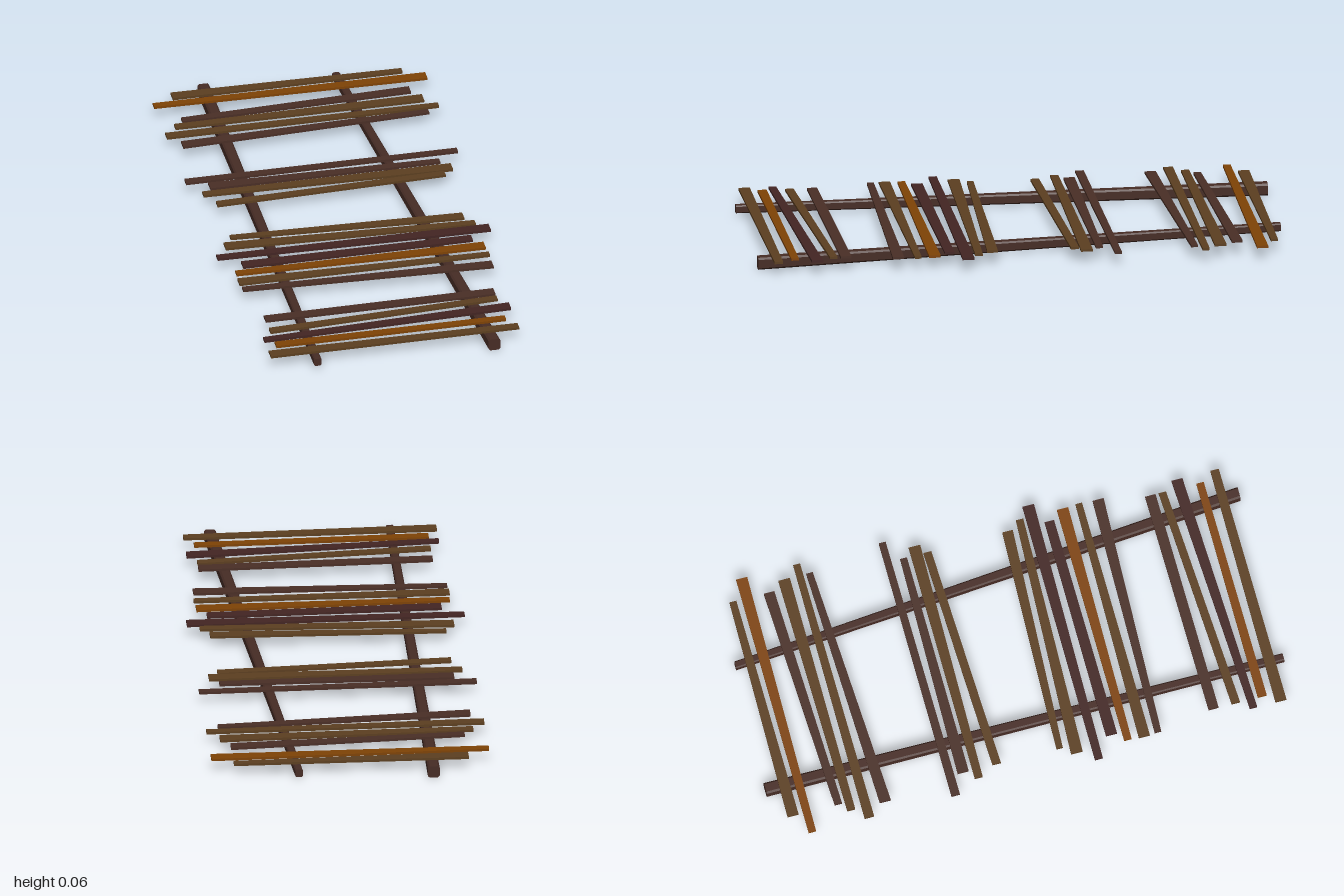
import * as THREE from 'three';

const paint = (name, color) => {
  const m = new THREE.MeshStandardMaterial({ color });
  m.name = name;
  return m;
};

// Tapered bar between two ends; each end is { p: [x, y, z], w: width, h: height }
function taperedBar(a, b, side, chamfer) {
  const k = 0.5, c = 0.5 - chamfer;
  const corners = chamfer
    ? [[c, -k], [k, -c], [k, c], [c, k], [-c, k], [-k, c], [-k, -c], [-c, -k]]
    : [[k, -k], [k, k], [-k, k], [-k, -k]];
  const section = new THREE.Shape(corners.map(([x, y]) => new THREE.Vector2(x, y)));
  const geo = new THREE.ExtrudeGeometry(section, { depth: 1, bevelEnabled: false });
  const pos = geo.attributes.position;
  const start = new THREE.Vector3(...a.p), end = new THREE.Vector3(...b.p);
  const v = new THREE.Vector3();
  for (let i = 0; i < pos.count; i++) {
    const t = pos.getZ(i);
    v.lerpVectors(start, end, t);
    v.addScaledVector(side, pos.getX(i) * THREE.MathUtils.lerp(a.w, b.w, t));
    v.y += pos.getY(i) * THREE.MathUtils.lerp(a.h, b.h, t);
    pos.setXYZ(i, v.x, v.y, v.z);
  }
  geo.computeVertexNormals();
  return geo;
}

export function createModel() {
  const model = new THREE.Group();
  model.name = 'plankWalkway';

  const railWood = paint('railWood', 0x472c25);
  const woods = {
    mid: paint('midBrownWood', 0x5c3f20),
    dark: paint('darkBrownWood', 0x4a2f26),
    deep: paint('deepBrownWood', 0x432523),
    amber: paint('amberWood', 0x7f4305),
  };

  // Two long rails, each thick at one end and thin at the other
  const alongX = new THREE.Vector3(1, 0, 0);
  const addRail = (name, back, front) => {
    const mesh = new THREE.Mesh(taperedBar(back, front, alongX, 0.15), railWood);
    mesh.name = name;
    model.add(mesh);
  };
  addRail('rightRail',
    { p: [-0.3, 0.024, -1], w: 0.044, h: 0.046 },
    { p: [-0.3, 0.029, 0.98], w: 0.028, h: 0.03 });
  addRail('leftRail',
    { p: [0.197, 0.029, -0.98], w: 0.028, h: 0.03 },
    { p: [0.365, 0.024, 0.99], w: 0.044, h: 0.046 });

  // Planks: half length, z and width at the -x end, z and width at the +x end, wood
  const planks = [
    [0.434, -0.93, 0.042, -0.925, 0.026, 'mid'],
    [0.514, -0.878, 0.028, -0.87, 0.042, 'amber'],
    [0.434, -0.757, 0.028, -0.787, 0.04, 'dark'],
    [0.469, -0.717, 0.03, -0.72, 0.044, 'mid'],
    [0.514, -0.66, 0.036, -0.66, 0.026, 'mid'],
    [0.469, -0.587, 0.042, -0.623, 0.025, 'dark'],
    [0.514, -0.33, 0.032, -0.333, 0.026, 'dark'],
    [0.434, -0.28, 0.042, -0.273, 0.026, 'dark'],
    [0.469, -0.23, 0.03, -0.222, 0.044, 'mid'],
    [0.434, -0.152, 0.032, -0.182, 0.03, 'mid'],
    [0.436, 0.088, 0.024, 0.125, 0.04, 'mid'],
    [0.469, 0.145, 0.044, 0.18, 0.028, 'mid'],
    [0.514, 0.217, 0.03, 0.225, 0.044, 'deep'],
    [0.434, 0.287, 0.042, 0.284, 0.036, 'deep'],
    [0.469, 0.34, 0.028, 0.344, 0.043, 'amber'],
    [0.473, 0.402, 0.042, 0.407, 0.025, 'mid'],
    [0.469, 0.455, 0.025, 0.48, 0.042, 'dark'],
    [0.434, 0.677, 0.038, 0.67, 0.04, 'dark'],
    [0.434, 0.762, 0.032, 0.716, 0.028, 'mid'],
    [0.469, 0.82, 0.028, 0.781, 0.042, 'deep'],
    [0.434, 0.863, 0.034, 0.86, 0.028, 'amber'],
    [0.469, 0.925, 0.042, 0.925, 0.032, 'mid'],
  ];
  const alongBack = new THREE.Vector3(0, 0, -1);
  const y = 0.0515, h = 0.009;
  planks.forEach(([half, zA, wA, zB, wB, wood], i) => {
    const geo = taperedBar(
      { p: [-half, y, zA], w: wA, h },
      { p: [half, y, zB], w: wB, h }, alongBack, 0);
    const mesh = new THREE.Mesh(geo, woods[wood]);
    mesh.name = `plank${i + 1}`;
    model.add(mesh);
  });

  return model;
}
